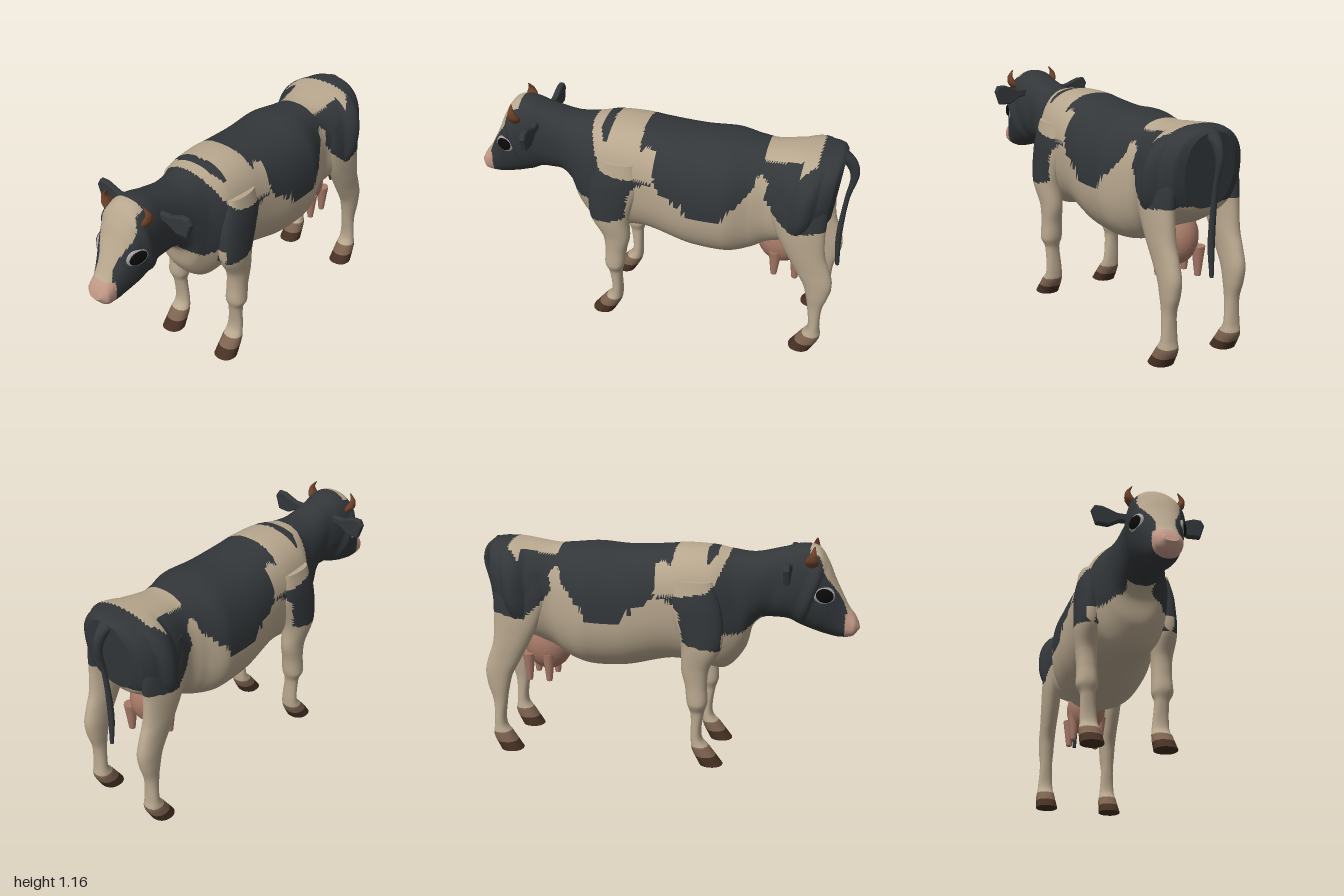
import * as THREE from 'three';

const COLORS = {
  black: 0x33373a, cream: 0xb8a78e, muzzle: 0xc09786, udder: 0xa87a68, pastern: 0x7d6350,
  hoof: 0x463023, horn: 0x6a4029, eye: 0x0a0a0a, rim: 0xa0a0a0,
};
const mats = {};
const mat = (c) => (mats[c] ??= new THREE.MeshStandardMaterial({ color: COLORS[c] }));

// Coat markings in side profile [z, y]
const SADDLE = [[0.35, 1.2], [0.34, 1.1], [0.29, 0.98], [0.25, 0.93], [0.11, 0.905], [-0.02, 0.9],
  [-0.02, 1.06], [0.03, 1.07], [0.06, 1.04], [0.07, 1.2]];
const CHEST = [[0.51, 0.79], [0.46, 0.74], [0.4, 0.7], [0.32, 0.71], [0.32, 0.4], [0.51, 0.4]];
const BELLY = [[0.34, 0.63], [0.22, 0.645], [0.13, 0.67], [0.11, 0.82], [0.07, 0.87], [-0.02, 0.9],
  [-0.06, 0.86], [-0.2, 0.795], [-0.37, 0.795], [-0.43, 0.84], [-0.52, 0.95], [-0.52, 1.0], [-0.55, 1.015],
  [-0.585, 0.98], [-0.57, 0.9], [-0.63, 0.82], [-0.72, 0.74], [-0.86, 0.77], [-1, 0.76], [-1, -0.1], [0.34, -0.1]];
const FLANK_STRIPE = [[-0.1, 0.84], [-0.2, 0.782], [-0.37, 0.782], [-0.41, 0.81], [-0.37, 0.762], [-0.2, 0.76]];
// Markings seen from above [|x|, z]
const RUMP = [[-1, -0.81], [0.15, -0.81], [0.2, -0.74], [0.13, -0.74], [0.115, -0.55], [-1, -0.55]];
const WITHERS_STRIPE = [[-1, 0.285], [0.1, 0.285], [0.17, 0.25], [0.15, 0.235], [-1, 0.235]];
// Blaze outline [|x|, y]
const BLAZE = [[-1, 1.2], [0.08, 1.2], [0.085, 1.11], [0.11, 1.05], [0.1, 1.0], [0.06, 0.92],
  [0.048, 0.87], [0.058, 0.8], [0.06, 0.76], [-1, 0.76]];

function inside(poly, u, v) {
  let hit = false;
  for (let i = 0, j = poly.length - 1; i < poly.length; j = i++) {
    const [a, b] = poly[i], [c, d] = poly[j];
    if ((b > v) !== (d > v) && u < ((c - a) * (v - b)) / (d - b) + a) hit = !hit;
  }
  return hit;
}

function coat(x, y, z) {
  const ax = Math.abs(x);
  if (y < 0.05) return 'hoof';
  if (y < 0.1) return 'pastern';
  if (z > 0.6) {
    if (z > 0.925 && y < 0.815) return 'muzzle';
    const onFace = z - (0.78 + (1.14 - y) * 0.557) > -0.09;
    return z > 0.74 && onFace && inside(BLAZE, ax, y) ? 'cream' : 'black';
  }
  if (y > 1 && inside(WITHERS_STRIPE, ax, z)) return 'black';
  if (y > 1 && inside(RUMP, ax, z)) return 'cream';
  if (inside(FLANK_STRIPE, z, y)) return 'black';
  return [SADDLE, CHEST, BELLY].some((p) => inside(p, z, y)) ? 'cream' : 'black';
}

// Smooth loft; each section is [z, y of first edge, z, y of opposite edge, centre x, half width, taper]
function loft(sections, rings, sides, power = 1) {
  const curve = (f) => new THREE.CatmullRomCurve3(sections.map(f));
  const first = curve((s) => new THREE.Vector3(0, s[1], s[0]));
  const last = curve((s) => new THREE.Vector3(0, s[3], s[2]));
  const size = curve((s) => new THREE.Vector3(s[4], s[5], s[6] ?? 0));
  const pos = [], index = [];
  for (let i = 0; i <= rings; i++) {
    const t = i / rings, a = first.getPoint(t), b = last.getPoint(t), w = size.getPoint(t);
    for (let j = 0; j < sides; j++) {
      const ang = (j / sides) * Math.PI * 2;
      const [c, s] = [Math.cos(ang), Math.sin(ang)].map((v) => Math.sign(v) * Math.abs(v) ** power);
      pos.push(w.x + s * w.y * (1 + w.z * c), (a.y + b.y + c * (a.y - b.y)) / 2, (a.z + b.z + c * (a.z - b.z)) / 2);
      if (i === rings) continue;
      const p = i * sides + j, q = i * sides + ((j + 1) % sides);
      index.push(p, q, p + sides, q, q + sides, p + sides);
    }
  }
  // End caps with their own corners
  for (const i of [0, rings]) {
    const ring = pos.slice(i * sides * 3, (i + 1) * sides * 3), base = pos.length / 3;
    const mid = [0, 1, 2].map((k) => ring.reduce((sum, v, n) => sum + (n % 3 === k ? v : 0), 0) / sides);
    pos.push(...ring, ...mid);
    for (let j = 0; j < sides; j++) {
      const p = base + j, q = base + ((j + 1) % sides);
      index.push(base + sides, ...(i ? [p, q] : [q, p]));
    }
  }
  const geo = new THREE.BufferGeometry();
  geo.setAttribute('position', new THREE.Float32BufferAttribute(pos, 3));
  geo.setIndex(index);
  geo.computeVertexNormals();
  return geo;
}

// Split a surface into one mesh per coat colour
function painted(name, geo) {
  const group = new THREE.Group(), p = geo.attributes.position, ix = geo.index.array, sets = {};
  group.name = name;
  for (let i = 0; i < ix.length; i += 3) {
    const tri = [ix[i], ix[i + 1], ix[i + 2]];
    const mean = (get) => tri.reduce((s, k) => s + p[get](k), 0) / 3;
    (sets[coat(mean('getX'), mean('getY'), mean('getZ'))] ??= []).push(...tri);
  }
  for (const [color, tris] of Object.entries(sets)) {
    const part = geo.clone();
    part.setIndex(tris);
    group.add(solid(`${name} ${color}`, part.toNonIndexed(), color));
  }
  return group;
}

function solid(name, geo, color) {
  const mesh = new THREE.Mesh(geo, mat(color));
  mesh.name = name;
  return mesh;
}

export function createModel() {
  const cow = new THREE.Group();
  cow.name = 'cow';

  // Head, neck and trunk from nose to rump
  cow.add(painted('body', loft([
    [0.99, 0.765, 1.0, 0.73, 0, 0.035], [0.975, 0.795, 0.965, 0.69, 0, 0.066], [0.945, 0.835, 0.9, 0.682, 0, 0.072],
    [0.91, 0.9, 0.85, 0.69, 0, 0.088, 0.05], [0.87, 0.98, 0.78, 0.71, 0, 0.115, 0.1],
    [0.83, 1.07, 0.71, 0.735, 0, 0.13, 0.1], [0.78, 1.14, 0.64, 0.765, 0, 0.13, 0.1],
    [0.71, 1.155, 0.58, 0.77, 0, 0.125, 0.05], [0.6, 1.13, 0.51, 0.765, 0, 0.12], [0.46, 1.1, 0.46, 0.72, 0, 0.14],
    [0.35, 1.11, 0.42, 0.59, 0, 0.165, 0.05], [0.25, 1.125, 0.32, 0.485, 0, 0.21, 0.15],
    [0.1, 1.13, 0.2, 0.505, 0, 0.228, 0.1], [0, 1.12, 0.05, 0.525, 0, 0.238, 0.05],
    [-0.2, 1.11, -0.2, 0.475, 0, 0.262], [-0.36, 1.12, -0.38, 0.47, 0, 0.264], [-0.5, 1.11, -0.5, 0.5, 0, 0.215],
    [-0.58, 1.105, -0.58, 0.55, 0, 0.197], [-0.72, 1.12, -0.68, 0.6, 0, 0.228], [-0.85, 1.13, -0.8, 0.67, 0, 0.228],
    [-0.91, 1.125, -0.87, 0.72, 0, 0.19], [-0.93, 1.11, -0.89, 0.75, 0, 0.14],
  ], 230, 72, 0.85)));

  // Tail
  cow.add(solid('tail', loft([
    [-0.935, 0.43, -0.955, 0.43, 0, 0.01], [-0.92, 0.6, -0.95, 0.6, 0, 0.018], [-0.94, 0.85, -0.965, 0.85, 0, 0.014],
    [-0.955, 0.98, -0.998, 1.0, 0, 0.018], [-0.93, 1.04, -0.98, 1.07, 0, 0.026], [-0.88, 1.09, -0.915, 1.13, 0, 0.045],
  ], 40, 12), 'black'));

  // Udder
  const udder = new THREE.SphereGeometry(1, 28, 18).scale(0.11, 0.145, 0.13).translate(0, 0.555, -0.65);
  cow.add(solid('udder', udder, 'udder'));

  for (const side of [1, -1]) {
    const label = side > 0 ? 'left' : 'right';

    // Front leg, hoof to shoulder
    cow.add(painted(`${label} front leg`, loft([
      [0.335, 0, 0.215, 0, 0.185, 0.06], [0.27, 0.085, 0.172, 0.085, 0.185, 0.054], [0.225, 0.14, 0.167, 0.14, 0.185, 0.045],
      [0.235, 0.28, 0.165, 0.28, 0.192, 0.038], [0.253, 0.34, 0.147, 0.34, 0.197, 0.056],
      [0.25, 0.43, 0.137, 0.43, 0.197, 0.052], [0.26, 0.52, 0.117, 0.52, 0.2, 0.053],
      [0.325, 0.65, 0.115, 0.65, 0.205, 0.063], [0.32, 0.83, 0.06, 0.85, 0.205, 0.058], [0.27, 0.98, 0.08, 0.98, 0.2, 0.04],
    ].map((s) => s.with(4, s[4] * side)), 110, 32, 0.9)));

    // Hind leg, hoof to hip
    cow.add(painted(`${label} hind leg`, loft([
      [-0.755, 0, -0.875, 0, 0.185, 0.06], [-0.81, 0.085, -0.915, 0.085, 0.185, 0.052], [-0.845, 0.14, -0.908, 0.14, 0.185, 0.042],
      [-0.835, 0.27, -0.91, 0.27, 0.185, 0.035], [-0.82, 0.35, -0.935, 0.36, 0.185, 0.041],
      [-0.8, 0.42, -0.945, 0.44, 0.185, 0.044], [-0.755, 0.5, -0.925, 0.52, 0.185, 0.045],
      [-0.7, 0.6, -0.897, 0.6, 0.185, 0.05], [-0.64, 0.72, -0.885, 0.72, 0.185, 0.053],
      [-0.6, 0.85, -0.885, 0.85, 0.18, 0.052], [-0.62, 0.98, -0.86, 0.98, 0.17, 0.04],
    ].map((s) => s.with(4, s[4] * side)), 110, 32, 0.9)));

    // Teats
    for (const z of [-0.63, -0.74]) {
      const teat = new THREE.CylinderGeometry(0.035, 0.016, 0.15, 10).translate(side * 0.078, 0.435, z);
      cow.add(solid(`${label} teat`, teat, 'udder'));
    }

    // Ear
    const outline = [[0.1, 1.065], [0.16, 1.065], [0.235, 1.093], [0.27, 1.093], [0.283, 1.07], [0.262, 1.005], [0.205, 1.003], [0.15, 1.035], [0.1, 1.04]];
    const shape = new THREE.Shape(outline.map(([x, y]) => new THREE.Vector2(x * side, y)));
    const ear = new THREE.ExtrudeGeometry(shape, { depth: 0.012, bevelSize: 0.008, bevelThickness: 0.01, bevelSegments: 2 });
    cow.add(solid(`${label} ear`, ear.translate(0, 0, 0.635), 'black'));

    // Horn
    cow.add(solid(`${label} horn`, loft([
      [0.785, 1.055, 0.72, 1.055, 0.1, 0.024], [0.785, 1.09, 0.72, 1.09, 0.128, 0.022],
      [0.775, 1.125, 0.74, 1.125, 0.137, 0.013], [0.767, 1.16, 0.76, 1.16, 0.117, 0.003],
    ].map((s) => s.with(4, s[4] * side)), 16, 12), 'horn'));

    // Eye and its pale rim
    for (const [name, color, r] of [['eye', 'eye', [0.024, 0.04, 0.052]], ['eye rim', 'rim', [0.018, 0.046, 0.058]]]) {
      const ball = new THREE.SphereGeometry(1, 24, 16).scale(...r).rotateX(0.3).rotateY(-0.35 * side);
      cow.add(solid(`${label} ${name}`, ball.translate(side * 0.112, 0.918, 0.818), color));
    }
  }
  return cow;
}
